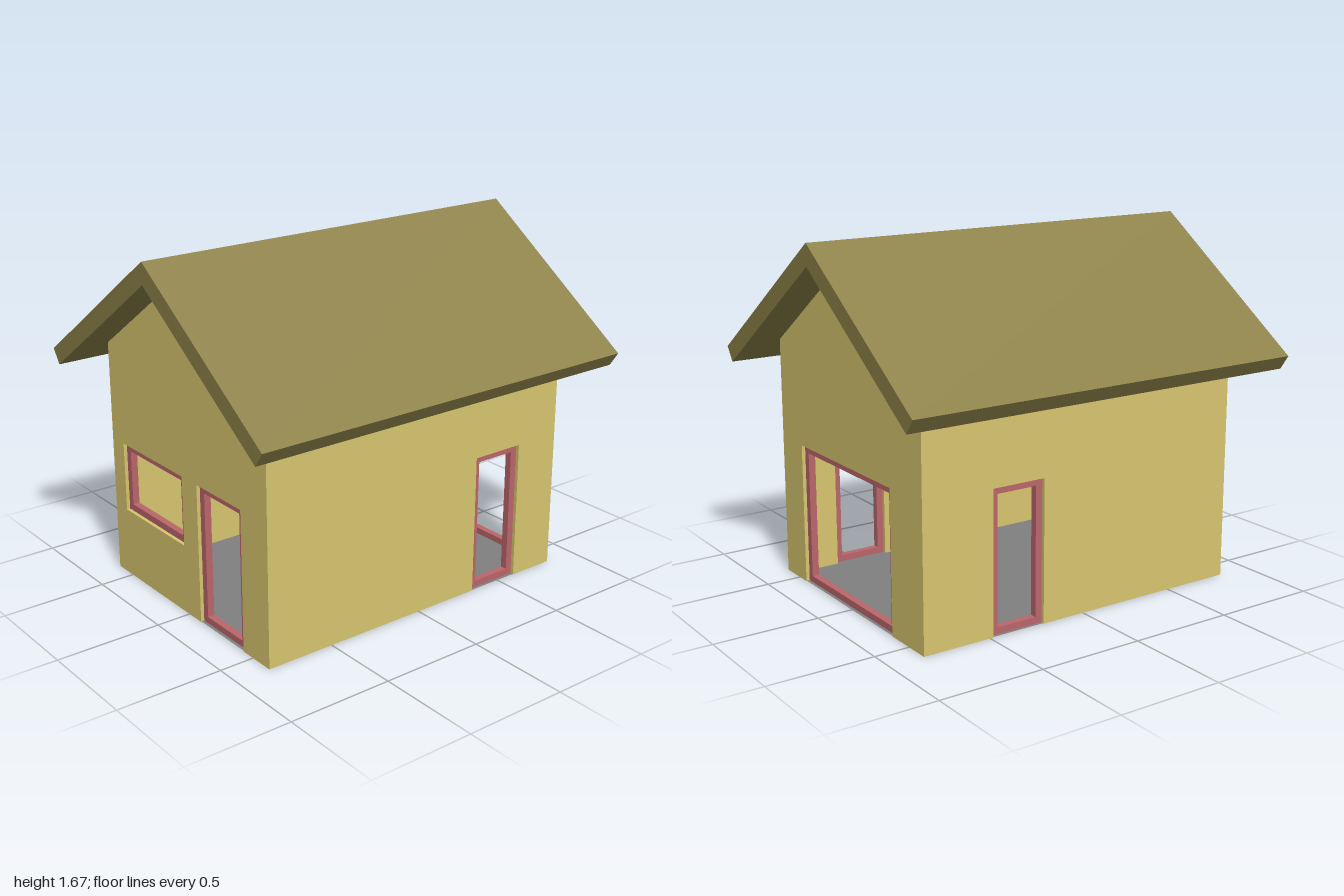
import * as THREE from 'three';

const HALF_W = 0.62, HALF_D = 0.833, WALL = 0.067, FRAME = 0.033;
const SLOPE = 0.696, APEX = 1.567;
const mat = (color) => new THREE.MeshStandardMaterial({ color, flatShading: true });

const toShape = (pts) => new THREE.Shape(pts.map(([x, y]) => new THREE.Vector2(x, y)));
const rect = ({ u0, u1, y0, y1 }) => [[u0, y0], [u1, y0], [u1, y1], [u0, y1]];

function extrude(name, shape, depth, z, material) {
  const geometry = new THREE.ExtrudeGeometry(shape, { depth, bevelEnabled: false });
  geometry.translate(0, 0, z - depth / 2);
  const mesh = new THREE.Mesh(geometry, material);
  mesh.name = name;
  return mesh;
}

// Wall with openings: doors notch the bottom edge, windows are holes; each gets a frame
function buildWall(name, half, top, openings, wallMat, frameMat) {
  const group = new THREE.Group();
  group.name = name;
  const outline = [[-half, 0]];
  for (const o of openings.filter((o) => o.y0 === 0)) {
    outline.push([o.u0, 0], [o.u0, o.y1], [o.u1, o.y1], [o.u1, 0]);
  }
  outline.push([half, 0], ...top);
  const shape = toShape(outline);
  for (const o of openings.filter((o) => o.y0 > 0)) {
    shape.holes.push(new THREE.Path(toShape(rect(o)).getPoints()));
  }
  group.add(extrude(name + 'Panel', shape, WALL, 0, wallMat));

  for (const o of openings) {
    const frame = toShape(rect(o));
    const inner = { u0: o.u0 + FRAME, u1: o.u1 - FRAME, y0: o.y0 + FRAME, y1: o.y1 - FRAME };
    frame.holes.push(new THREE.Path(toShape(rect(inner)).getPoints()));
    group.add(extrude(o.name, frame, FRAME, 0, frameMat));
  }
  return group;
}

export function createModel() {
  const model = new THREE.Group();
  model.name = 'house';
  const wallMat = mat(0xd8c670), roofMat = mat(0x8d8149), frameMat = mat(0xbb666a);
  const floorMat = mat(0x808080);
  floorMat.side = THREE.DoubleSide;

  // Gable walls reach the underside of the roof
  const eave = APEX - SLOPE * HALF_W;
  const gable = [[HALF_W, eave], [0, APEX], [-HALF_W, eave]];
  const front = buildWall('frontWall', HALF_W, gable, [
    { name: 'windowFrame', u0: -0.524, u1: -0.024, y0: 0.333, y1: 0.667 },
    { name: 'frontDoorFrame', u0: 0.095, u1: 0.429, y0: 0, y1: 0.667 },
  ], wallMat, frameMat);
  front.position.z = HALF_D - WALL / 2;

  const back = buildWall('backWall', HALF_W, gable, [
    { name: 'backDoorFrame', u0: -0.363, u1: 0.433, y0: 0, y1: 0.667 },
  ], wallMat, frameMat);
  back.position.z = -front.position.z;

  // Side walls fit between the gables, their tops buried in the roof
  const sideHalf = HALF_D - WALL, sideTop = eave + SLOPE * WALL;
  const sides = [['leftWall', 1, 0.333, 0.6], ['rightWall', -1, 0.217, 0.483]];
  for (const [name, s, u0, u1] of sides) {
    const wall = buildWall(name, sideHalf, [[sideHalf, sideTop], [-sideHalf, sideTop]], [
      { name: name + 'DoorFrame', u0, u1, y0: 0, y1: 0.667 },
    ], wallMat, frameMat);
    wall.rotation.y = Math.PI / 2;
    wall.position.x = s * (HALF_W - WALL / 2);
    model.add(wall);
  }

  // Floor sheet
  const floor = new THREE.Mesh(new THREE.PlaneGeometry(HALF_W * 2 - 0.004, HALF_D * 2 - 0.004), floorMat);
  floor.name = 'floor';
  floor.rotation.x = -Math.PI / 2;
  floor.position.y = 0.002;

  // Roof: chevron section with square-cut eaves
  const roof = extrude('roof', toShape([
    [0, APEX], [0.787, 1.02], [0.833, 1.087], [0, 1.667], [-0.833, 1.087], [-0.787, 1.02],
  ]), 2, 0, roofMat);

  model.add(front, back, floor, roof);
  return model;
}
